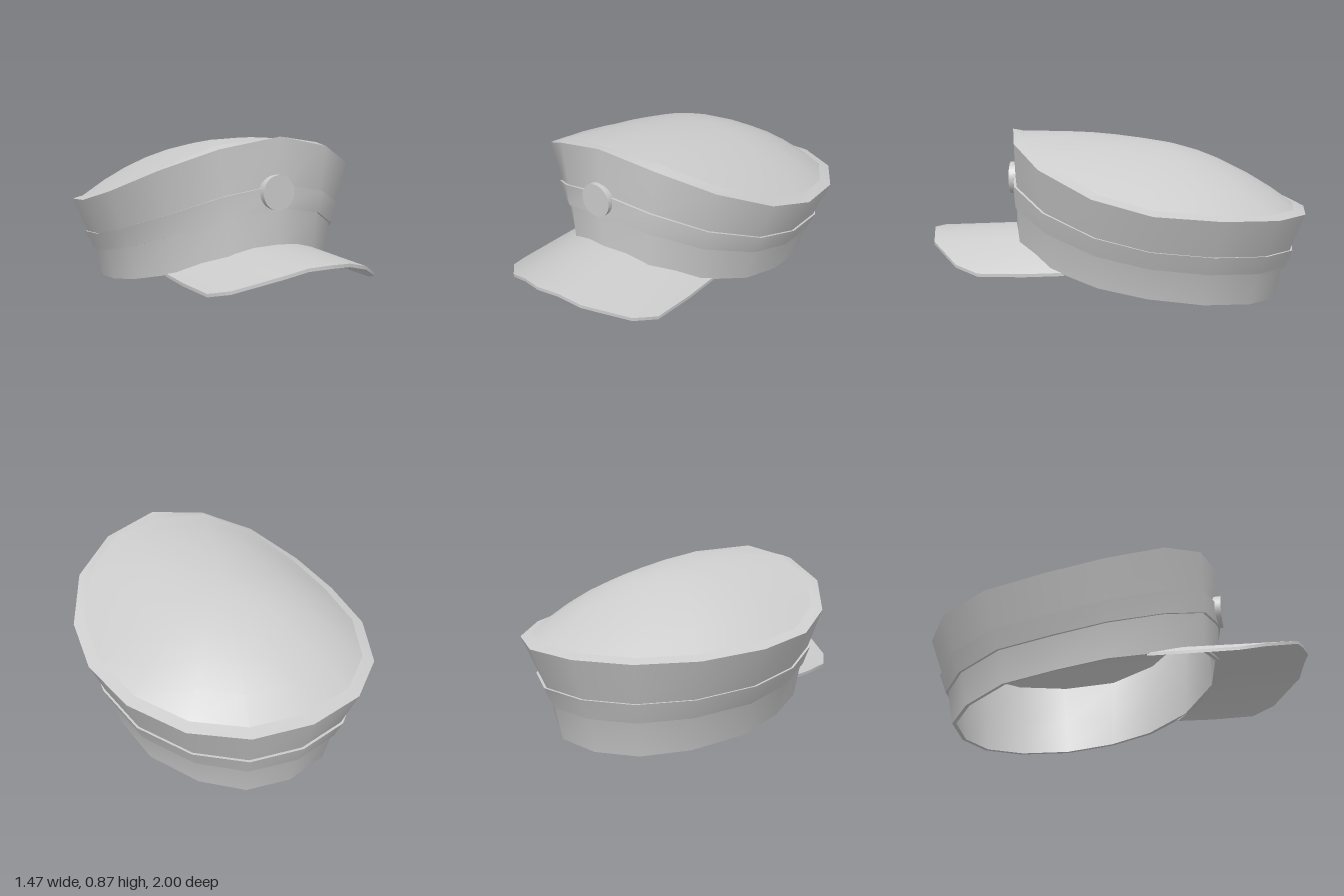
import * as THREE from 'three';
import { toCreasedNormals } from 'three/addons/utils/BufferGeometryUtils.js';

const material = new THREE.MeshStandardMaterial({ color: 0xcccccc, side: THREE.DoubleSide });
const { lerp } = THREE.MathUtils;

// Surface through a list of closed rings that share the same point count
function loft(rings, crease = 0.8) {
  const n = rings[0].length;
  const index = [];
  for (let j = 0; j < rings.length - 1; j++) {
    for (let i = 0; i < n; i++) {
      const k = (i + 1) % n;
      const a = j * n + i, b = j * n + k, c = a + n, d = b + n;
      index.push(a, b, d, a, d, c);
    }
  }
  const geometry = new THREE.BufferGeometry();
  geometry.setAttribute('position', new THREE.Float32BufferAttribute(rings.flat(2), 3));
  geometry.setIndex(index);
  return toCreasedNormals(geometry, crease);
}

// Half outline from front centre to back centre, mirrored to a full ring
function mirrorRing(half) {
  const other = half.slice(1, -1).reverse().map(([x, y, z]) => [-x, y, z]);
  return [...half, ...other];
}

const bottom = mirrorRing([
  [0, 0.33, 0.55], [0.24, 0.29, 0.5], [0.43, 0.205, 0.32], [0.55, 0.145, 0.08], [0.575, 0.1, -0.16],
  [0.55, 0.065, -0.43], [0.41, 0.03, -0.67], [0.23, 0.01, -0.82], [0, 0, -0.86],
]);
const top = mirrorRing([
  [0, 0.87, 0.56], [0.3, 0.815, 0.51], [0.54, 0.715, 0.36], [0.69, 0.6, 0.1], [0.735, 0.53, -0.18],
  [0.69, 0.5, -0.5], [0.535, 0.477, -0.78], [0.3, 0.465, -0.95], [0, 0.46, -1],
]);

// Ring on the flaring wall: t sets the height, s the flare, grow pushes outward
const wall = (t, s, grow = 0) => bottom.map((p, i) => {
  const q = top[i];
  const x = lerp(p[0], q[0], s), z = lerp(p[2], q[2], s);
  return [x * (1 + grow), lerp(p[1], q[1], t), -0.18 + (z + 0.18) * (1 + grow)];
});

const scaleRing = (ring, f, lift) => ring.map(([x, y, z]) => [x * f, y + lift, -0.2 + (z + 0.2) * f]);

export function createModel() {
  const group = new THREE.Group();
  const add = (name, geometry) => {
    const mesh = new THREE.Mesh(geometry, material);
    mesh.name = name;
    group.add(mesh);
    return mesh;
  };

  // Flaring outer wall, turned-in top rim and inner lining
  const rim = scaleRing(top, 0.925, 0.018);
  rim[0][1] = 0.86;
  const hem = scaleRing(bottom, 0.97, 0.002);
  add('outerWall', loft([bottom, wall(0.37, 0.24), wall(0.58, 0.5), top]));
  add('topRim', loft([top, rim]));
  add('lining', loft([rim, scaleRing(wall(0.45, 0.34), 0.95, 0), hem]));
  add('hem', loft([hem, bottom]));

  // Raised band around the wall
  add('band', loft([
    wall(0.37, 0.24), wall(0.37, 0.24, 0.018), wall(0.58, 0.5, 0.018), wall(0.58, 0.5),
  ]));

  // Domed crown, tilted down to the back
  const crown = [];
  for (let j = 0; j <= 6; j++) {
    const f = 1 - j / 6;
    crown.push(rim.map(([x, y, z]) => {
      const tilt = 0.15 * (z + 0.2);
      return [x * f, 0.81 + tilt * f + (y - 0.81 - tilt) * f * f, -0.2 + (z + 0.2) * f];
    }));
  }
  add('crown', loft(crown, 1.2));

  // Arched brim: columns of [inner x, inner z, outer x, outer z]
  const half = [
    [0.12, 0.525, 0.11, 0.975], [0.22, 0.5, 0.22, 0.95], [0.34, 0.4, 0.395, 0.8],
    [0.42, 0.31, 0.45, 0.68], [0.46, 0.25, 0.46, 0.45],
  ];
  const columns = [
    ...half.map(([a, b, c, d]) => [-a, b, -c, d]).reverse(),
    [0, 0.54, 0, 1],
    ...half,
  ];
  const brimY = (x, z) => 0.35 - 0.78 * x * x - 0.04 * (z - 0.55);
  const sections = columns.map(([xi, zi, xo, zo]) => {
    const yi = brimY(xi, zi), yo = brimY(xo, zo);
    return [[xi, yi, zi], [xo, yo, zo], [xo, yo - 0.016, zo], [xi, yi - 0.016, zi]];
  });
  const cap = (s) => s.map(() => [0, 1, 2].map((k) => (s[0][k] + s[2][k]) / 2));
  add('brim', loft([cap(sections[0]), ...sections, cap(sections.at(-1))], 0.6));

  // Round front button
  const button = add('button', new THREE.CylinderGeometry(0.085, 0.085, 0.08, 32));
  button.rotation.x = Math.PI / 2;
  button.position.set(-0.015, 0.605, 0.54);

  return group;
}
